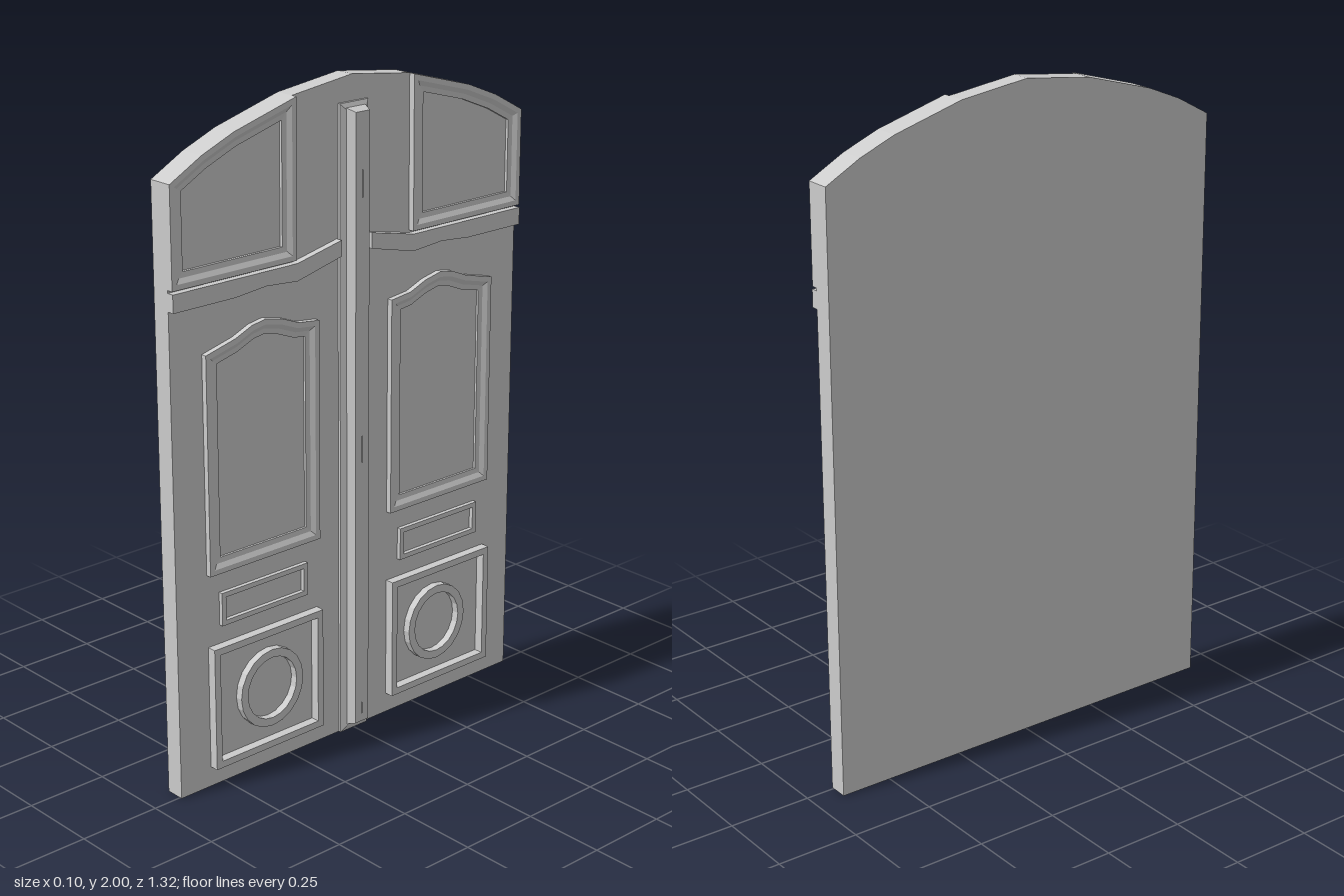
import * as THREE from 'three';

const BACK = -0.052, FACE = 0.007;
const grey = new THREE.MeshStandardMaterial({ color: 0xcccccc, flatShading: true });
grey.name = 'door grey';

// Move every edge of a counter-clockwise outline inward by d, with mitred corners
function inset(points, d) {
  const n = points.length;
  const normal = (a, b) => {
    const l = Math.hypot(b[0] - a[0], b[1] - a[1]);
    return [-(b[1] - a[1]) / l, (b[0] - a[0]) / l];
  };
  return points.map((p, i) => {
    const m = normal(points[(i + n - 1) % n], p);
    const k = normal(p, points[(i + 1) % n]);
    const s = d / (1 + m[0] * k[0] + m[1] * k[1]);
    return [p[0] + (m[0] + k[0]) * s, p[1] + (m[1] + k[1]) * s];
  });
}

// Sweep a moulding profile of [inset, height] pairs round an outline
function moulding(outline, profile) {
  const rings = profile.map(([d, z]) => inset(outline, d).map(([x, y]) => [x, y, z]));
  const pos = [];
  for (let r = 0; r < rings.length - 1; r++) {
    for (let i = 0; i < outline.length; i++) {
      const j = (i + 1) % outline.length;
      const a = rings[r][i], b = rings[r][j], c = rings[r + 1][j], d = rings[r + 1][i];
      pos.push(...a, ...b, ...c, ...a, ...c, ...d);
    }
  }
  const g = new THREE.BufferGeometry();
  g.setAttribute('position', new THREE.Float32BufferAttribute(pos, 3));
  g.computeVertexNormals();
  return g;
}

function plate(outline, from, to) {
  const shape = new THREE.Shape(outline.map(([x, y]) => new THREE.Vector2(x, y)));
  return new THREE.ExtrudeGeometry(shape, { depth: to - from, bevelEnabled: false }).translate(0, 0, from);
}

const rect = (x0, y0, x1, y1) => [[x0, y0], [x1, y0], [x1, y1], [x0, y1]];

export function createModel() {
  const door = new THREE.Group();
  door.name = 'doubleDoor';
  const add = (name, geometry) => {
    const mesh = new THREE.Mesh(geometry, grey);
    mesh.name = name;
    door.add(mesh);
  };

  // Arched slab
  const arch = [[0.66, 1.805], [0.55, 1.865], [0.44, 1.91], [0.22, 1.972]];
  const archLeft = arch.map(([x, y]) => [-x, y]).reverse();
  add('slab', plate([[-0.66, 0], [0.66, 0], ...arch, [0, 2], ...archLeft], BACK, FACE));

  // Moulding profiles
  const stepped = (top, width) => [
    [0, FACE], [0, top], [width * 0.35, top], [width * 0.65, top - 0.008],
    [width, top - 0.01], [width, FACE],
  ];
  const flat = (top, width) => [[0, FACE], [0, top], [width, top], [width, FACE]];

  // Outlines of one leaf, counter-clockwise
  const upper = [[0.222, 1.515], [0.66, 1.515], ...arch];
  const middle = [
    [0.14, 0.662], [0.55, 0.662], [0.55, 1.312], [0.445, 1.338], [0.385, 1.363],
    [0.335, 1.371], [0.275, 1.358], [0.215, 1.334], [0.14, 1.325],
  ];
  const rail = [
    [0.058, 1.495], [0.222, 1.456], [0.335, 1.465], [0.445, 1.455],
    [0.66, 1.455], [0.66, 1.507], [0.222, 1.507], [0.058, 1.542],
  ];
  const circle = Array.from({ length: 20 }, (_, i) => {
    const a = (i / 20) * Math.PI * 2;
    return [0.333 + 0.118 * Math.cos(a), 0.25 + 0.122 * Math.sin(a)];
  });

  for (const [side, s] of [['right', 1], ['left', -1]]) {
    const flip = (o) => (s > 0 ? o : o.map(([x, y]) => [-x, y]).reverse());
    add(side + 'UpperPanelFrame', moulding(flip(upper), stepped(0.026, 0.045)));
    add(side + 'MiddlePanelFrame', moulding(flip(middle), stepped(0.024, 0.045)));
    add(side + 'Rail', plate(flip(rail), FACE, 0.028));
    add(side + 'SmallPanelFrame', moulding(flip(rect(0.185, 0.497, 0.507, 0.598)), flat(0.02, 0.015)));
    add(side + 'LowerPanelFrame', moulding(flip(rect(0.14, 0.062, 0.55, 0.44)), flat(0.035, 0.021)));
    add(side + 'LowerRing', moulding(flip(circle), flat(0.03, 0.025)));
  }

  // Centre post: a thin backing strip carrying a tapered bar
  add('postBacking', moulding(rect(-0.053, 0, 0.053, 1.925),
    [[0, FACE], [0, 0.015], [0.018, 0.023], [0.05, 0.023]]));
  add('postBar', moulding(rect(-0.035, 0.025, 0.035, 1.912),
    [[0, 0.015], [0, 0.024], [0.009, 0.051], [0.0349, 0.051]]));

  // Turn the decorated face towards +x
  door.rotation.y = Math.PI / 2;
  const model = new THREE.Group();
  model.add(door);
  return model;
}
